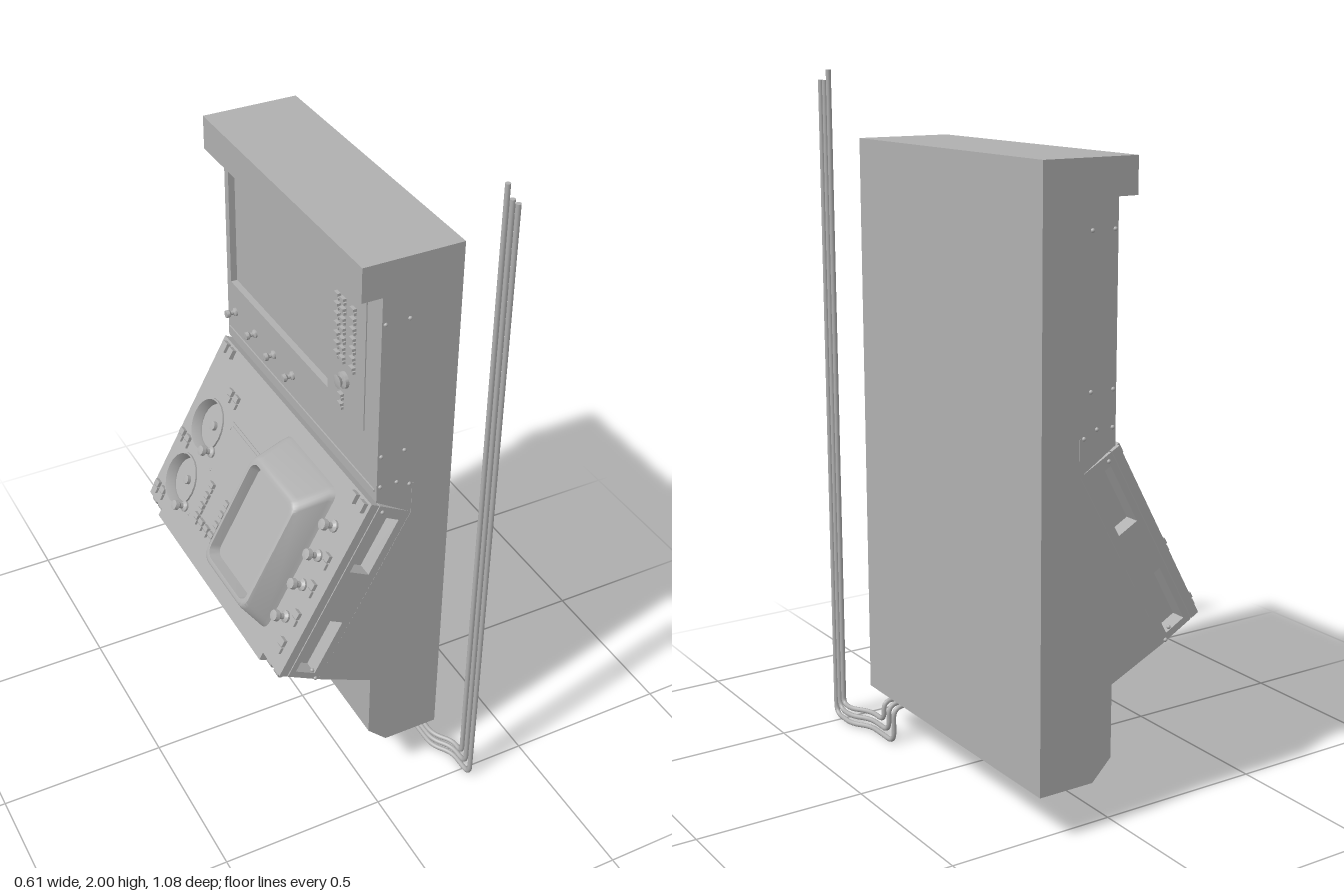
import * as THREE from 'three';
import { toCreasedNormals } from 'three/addons/utils/BufferGeometryUtils.js';

const grey = new THREE.MeshStandardMaterial({ color: 0xb0b0b0 });
grey.name = 'machine grey';
const Z0 = -0.535, Z1 = 0.395, ZM = (Z0 + Z1) / 2, W = Z1 - Z0;

function add(parent, name, geo, x = 0, y = 0, z = 0) {
  const m = new THREE.Mesh(geo, grey);
  m.name = name;
  m.position.set(x, y, z);
  parent.add(m);
  return m;
}
// box given by its ranges on each axis
function block(parent, name, x0, x1, y0, y1, z0, z1) {
  return add(parent, name, new THREE.BoxGeometry(x1 - x0, y1 - y0, z1 - z0),
    (x0 + x1) / 2, (y0 + y1) / 2, (z0 + z1) / 2);
}
const poly = (pts) => new THREE.Shape(pts.map((p) => new THREE.Vector2(...p)));
const rectHole = (x0, x1, y0, y1) => new THREE.Path(
  [[x0, y0], [x0, y1], [x1, y1], [x1, y0]].map((p) => new THREE.Vector2(...p)));
const extrude = (shape, depth) =>
  new THREE.ExtrudeGeometry(shape, { depth, bevelEnabled: false, curveSegments: 32 });

// turned part whose axis points out of the panel (local +z)
function turned(parent, name, profile, x, y, z) {
  const g = new THREE.LatheGeometry(profile.map((p) => new THREE.Vector2(...p)), 20);
  g.rotateX(Math.PI / 2);
  return add(parent, name, toCreasedNormals(g, 0.6), x, y, z);
}
const knob = (parent, name, x, y, z, s = 1) => turned(parent, name,
  [[0.016, 0], [0.016, 0.006], [0.008, 0.012], [0.008, 0.022], [0.015, 0.03], [0.014, 0.042], [0, 0.045]]
    .map(([r, h]) => [r * s, h * s]), x, y, z);

// key with a split cap
function key(parent, x, y, z, w = 0.024, h = 0.036) {
  block(parent, 'key', x - w / 2, x + w / 2, y - h / 2, y - 0.002, z, z + 0.008);
  block(parent, 'key', x - w / 2, x + w / 2, y + 0.002, y + h / 2, z, z + 0.011);
}

// rounded rectangle ring at height n
function ring(x0, x1, y0, y1, r, n) {
  const pts = [];
  [[x1 - r, y1 - r], [x0 + r, y1 - r], [x0 + r, y0 + r], [x1 - r, y0 + r]].forEach(([cx, cy], k) => {
    for (let i = 0; i <= 6; i++) {
      const a = (k + i / 6) * Math.PI / 2;
      pts.push([cx + r * Math.cos(a), cy + r * Math.sin(a), n]);
    }
  });
  return pts;
}
function loft(rings) {
  const v = [];
  const N = rings[0].length;
  for (let k = 0; k + 1 < rings.length; k++) {
    for (let i = 0; i < N; i++) {
      const j = (i + 1) % N, a = rings[k], b = rings[k + 1];
      v.push(...a[i], ...a[j], ...b[j], ...a[i], ...b[j], ...b[i]);
    }
  }
  const cap = rings[rings.length - 1];
  for (let i = 1; i + 1 < N; i++) v.push(...cap[0], ...cap[i], ...cap[i + 1]);
  const g = new THREE.BufferGeometry();
  g.setAttribute('position', new THREE.Float32BufferAttribute(v, 3));
  return toCreasedNormals(g, 0.7);
}

// pipe along a polyline with rounded corners
function pipe(parent, pts, bend) {
  const P = pts.map((p) => new THREE.Vector3(...p));
  const path = new THREE.CurvePath();
  let from = P[0];
  for (let i = 1; i < P.length - 1; i++) {
    const inDir = P[i - 1].clone().sub(P[i]), outDir = P[i + 1].clone().sub(P[i]);
    const r = Math.min(bend, inDir.length() * 0.45, outDir.length() * 0.45);
    const a = P[i].clone().addScaledVector(inDir.normalize(), r);
    const b = P[i].clone().addScaledVector(outDir.normalize(), r);
    path.add(new THREE.LineCurve3(from, a));
    path.add(new THREE.QuadraticBezierCurve3(a, P[i], b));
    from = b;
  }
  path.add(new THREE.LineCurve3(from, P[P.length - 1]));
  add(parent, 'pipe', new THREE.TubeGeometry(path, 400, 0.0075, 10));
  for (const [p, a] of [[P[0], Math.PI / 2], [P[P.length - 1], -Math.PI / 2]]) {
    add(parent, 'pipeEnd', new THREE.CircleGeometry(0.0075, 10), p.x, p.y, p.z).rotation.x = a;
  }
}

export function createModel() {
  const model = new THREE.Group();
  model.name = 'controlCabinet';

  // cabinet body with top overhang and sloped console support
  add(model, 'cabinet', extrude(poly([[0.25, 0.14], [0.25, 1.81], [-0.04, 1.81], [-0.04, 1.71],
    [0.04, 1.71], [0.04, 1.08], [0.02, 1.07], [0.13, 1.0], [-0.15, 0.49], [0.02, 0.41],
    [0.02, 0.2], [0.08, 0.14]]), W), 0, 0, Z0);

  // upper wall: local x runs along z, local z points out of the wall
  const wall = new THREE.Group();
  wall.name = 'upperWall';
  wall.position.x = 0.02;
  wall.rotation.y = -Math.PI / 2;
  model.add(wall);
  const face = poly([[Z0, 1.07], [Z1, 1.07], [Z1, 1.71], [Z0, 1.71]]);
  face.holes.push(rectHole(-0.51, 0.11, 1.27, 1.66));
  add(wall, 'screenFrame', extrude(face, 0.02), 0, 0, -0.02);
  block(wall, 'screen', -0.495, 0.095, 1.285, 1.645, -0.02, -0.014);
  block(wall, 'switchPlate', 0.14, 0.32, 1.26, 1.67, 0, 0.003);
  block(wall, 'trimStrip', Z0 + 0.01, Z1 - 0.01, 1.1, 1.108, 0, 0.004);
  for (let i = 0; i < 7; i++) {
    for (const x of [0.175, 0.205, 0.26]) key(wall, x, 1.42 + i * 0.03, 0.003, 0.02, 0.02);
  }
  for (const y of [1.27, 1.3]) key(wall, 0.2, y, 0.003, 0.02, 0.02);
  turned(wall, 'selector', [[0.024, 0], [0.024, 0.01], [0.012, 0.014], [0.02, 0.024], [0, 0.028]], 0.215, 1.36, 0.003);
  for (const x of [-0.48, -0.345, -0.22, -0.1]) knob(wall, 'wallKnob', x, 1.18, 0, 0.8);

  // sloped console: local x along z, local y up the slope, local z out
  const con = new THREE.Group();
  con.name = 'console';
  con.position.set(-0.15, 0.49, 0);
  con.rotation.set(-Math.asin(0.48), -Math.PI / 2, 0, 'YXZ');
  model.add(con);
  const L = 0.582, T = 0.14, E = 0.045;
  block(con, 'consoleCore', Z0 + E, Z1 - E, 0, L, 0, 0.11);

  // end cheeks with two grip pockets each
  const cheek = poly([[0, 0], [0.11, 0], [0.11, L], [0, L]]);
  cheek.holes.push(rectHole(0.025, 0.092, 0.02, 0.2), rectHole(0.025, 0.092, 0.365, 0.55));
  for (const x of [Z0, Z1 - E]) {
    const m = add(con, 'gripCheek', extrude(cheek, E), x + E, 0, 0);
    m.rotation.y = -Math.PI / 2;
  }

  // control plate with two round wells and a lip on the lower edge
  const plate = poly([[Z0, 0], [-0.44, 0], [-0.44, -0.025], [0.29, -0.025], [0.29, 0],
    [Z1, 0], [Z1, L], [Z0, L]]);
  const dials = [0.13, 0.33];
  for (const y of dials) plate.holes.push(new THREE.Path().absarc(-0.415, y, 0.08, 0, Math.PI * 2, true));
  add(con, 'controlPlate', extrude(plate, 0.027), 0, 0, 0.113);
  block(con, 'seamCore', Z0 + 0.004, Z1 - 0.004, 0.004, L - 0.004, 0.109, 0.1135);
  for (const y of dials) {
    turned(con, 'dialRim', [[0.078, 0], [0.085, 0], [0.085, 0.006], [0.08, 0.006], [0.07, -0.02], [0.07, -0.026]], -0.415, y, T);
    turned(con, 'dialHub', [[0.014, 0], [0.014, 0.012], [0, 0.014]], -0.415, y, 0.113);
  }

  // keypad plate with a thin border
  block(con, 'keypadPlate', -0.305, -0.075, 0.055, 0.41, T, T + 0.003);
  block(con, 'keypadInset', -0.295, -0.085, 0.065, 0.4, T, T + 0.005);
  const cols = [0.094, 0.131, 0.168, 0.206];
  for (const x of [-0.25, -0.145, -0.107]) cols.forEach((y) => key(con, x, y, T + 0.005, 0.025, 0.032));
  for (const x of [-0.215, -0.18]) key(con, x, cols[0], T + 0.005, 0.025, 0.032);
  for (const y of [0.075, 0.24, 0.39]) {
    for (const x of [-0.298, -0.082]) add(con, 'plateScrew', new THREE.SphereGeometry(0.004, 8, 6), x, y, T + 0.004);
  }

  // loose keys and knobs
  for (const y of [0.04, 0.235]) for (const x of [-0.51, -0.47]) key(con, x, y, T, 0.025, 0.04);
  for (const x of [-0.375, -0.335]) key(con, x, 0.46, T, 0.025, 0.04);
  for (const y of [0.08, 0.28]) knob(con, 'leverKnob', -0.335, y, T, 1.05);
  for (const y of [0.14, 0.25, 0.35, 0.45]) knob(con, 'consoleKnob', 0.305, y, T, 1.1);
  for (const y of [0.07, 0.165, 0.265, 0.36]) key(con, 0.345, y, T, 0.025, 0.045);

  // corner catches
  for (const x of [-0.5, -0.46, 0.325, 0.37]) {
    add(con, 'cornerRoller', new THREE.CylinderGeometry(0.012, 0.012, 0.026, 14), x, -0.002, 0.125).rotation.z = Math.PI / 2;
    block(con, 'cornerCatch', x - 0.013, x + 0.013, 0.545, 0.575, T, T + 0.014);
  }

  // monitor hood with a sunk display
  add(con, 'monitorHood', loft([
    ring(-0.055, 0.255, 0.05, 0.53, 0.03, 0.138),
    ring(-0.05, 0.25, 0.058, 0.522, 0.03, 0.155),
    ring(-0.036, 0.24, 0.09, 0.465, 0.035, 0.222),
    ring(-0.031, 0.235, 0.098, 0.455, 0.035, 0.234),
    ring(-0.026, 0.23, 0.104, 0.448, 0.034, 0.236),
    ring(-0.019, 0.223, 0.115, 0.438, 0.03, 0.236),
    ring(-0.014, 0.218, 0.125, 0.428, 0.025, 0.205)]));

  // screws on both end walls
  const screws = [[0.03, 1.63], [0.1, 1.63], [0.03, 1.22], [0.1, 1.22], [0.03, 1.12],
    [0.08, 1.12], [0.12, 1.1], [0.04, 1.03], [-0.16, 0.5], [-0.17, 0.535]];
  for (const [x, y] of screws) {
    for (const z of [Z0, Z1]) add(model, 'sideScrew', new THREE.SphereGeometry(0.006, 10, 8), x, y, z);
  }
  for (const z of [Z0, Z1]) block(model, 'sideSeam', 0.129, 0.133, 1.0, 1.1, z - 0.001, z + 0.001);

  // three pipes from the cabinet underside up the outer corner
  for (const [zIn, zUp, y, top] of [[0.3, 0.485, 0.06, 2.0], [0.27, 0.51, 0.035, 1.97], [0.24, 0.535, 0.01, 1.97]]) {
    pipe(model, [[0.065, 0.18, zIn], [0.065, 0.122, zIn], [0.257, 0.122, zIn], [0.257, y, zIn],
      [0.257, y, 0.38], [0.298, y, 0.435], [0.298, y, zUp], [0.298, top, zUp]], 0.035);
  }
  return model;
}
